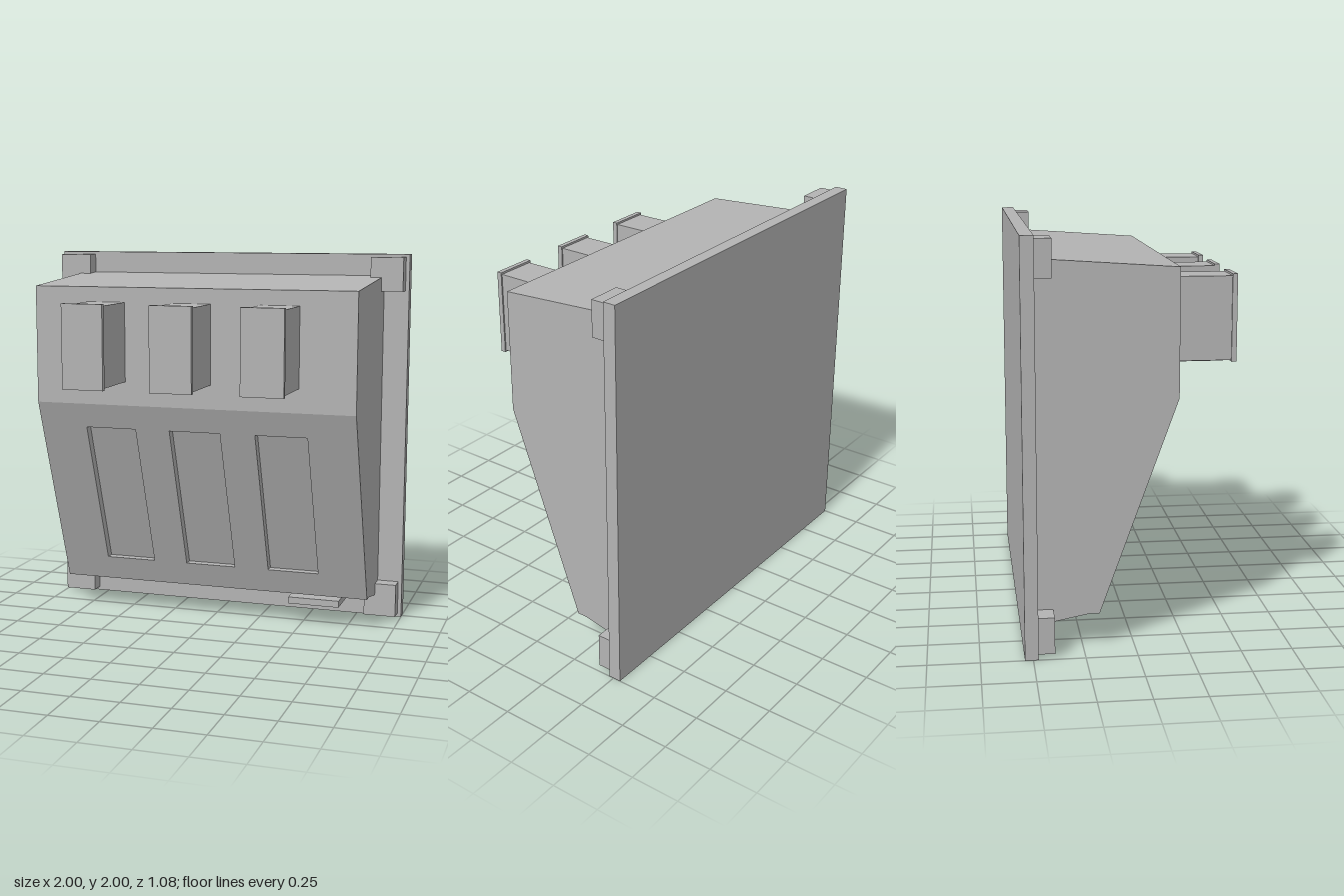
import * as THREE from 'three';

export function createModel() {
  const model = new THREE.Group();
  const grey = new THREE.MeshStandardMaterial({ color: 0xb4b4b4 });
  grey.name = 'grey';

  const add = (name, geometry) => {
    const mesh = new THREE.Mesh(geometry, grey);
    mesh.name = name;
    model.add(mesh);
    return mesh;
  };
  // Box given by its limits on each axis
  const box = (name, x0, x1, y0, y1, z0, z1) =>
    add(name, new THREE.BoxGeometry(x1 - x0, y1 - y0, z1 - z0))
      .position.set((x0 + x1) / 2, (y0 + y1) / 2, (z0 + z1) / 2);

  // Back plate
  box('backPlate', -1, 1, 0, 2, -0.54, -0.475);

  // Corner blocks
  for (const [x0, x1] of [[-0.98, -0.805], [0.805, 0.98]])
    for (const [y0, y1] of [[0.02, 0.2], [1.805, 1.985]])
      box('cornerBlock', x0, x1, y0, y1, -0.48, -0.395);

  // Housing: side profile (z, y) extruded across x, set back under the sloped panel
  const half = 0.865, depth = 0.05;
  const topY = 1.22, lowY = 0.17, topZ = 0.21, lowZ = -0.17;
  const profile = new THREE.Shape([
    [-0.48, 0.12], [lowZ - depth, lowY], [topZ - depth, topY],
    [topZ, topY], [topZ, 1.838], [-0.48, 1.885],
  ].map(([z, y]) => new THREE.Vector2(-z, y)));
  const housing = new THREE.ExtrudeGeometry(profile, { depth: half * 2, bevelEnabled: false });
  housing.translate(0, 0, -half).rotateY(Math.PI / 2);
  add('housing', housing);

  // Sloped panel with three recesses, sheared to lie along the slope
  const rect = (Type, x0, x1, y0, y1) => new Type([
    new THREE.Vector2(x0, y0), new THREE.Vector2(x1, y0),
    new THREE.Vector2(x1, y1), new THREE.Vector2(x0, y1),
  ]);
  const centres = [-0.467, 0, 0.467];
  const panelShape = rect(THREE.Shape, -half, half, lowY, topY);
  for (const c of centres)
    panelShape.holes.push(rect(THREE.Path, c - 0.139, c + 0.139, 0.305, 1.088));
  const panel = new THREE.ExtrudeGeometry(panelShape, { depth, bevelEnabled: false });
  const p = panel.attributes.position;
  for (let i = 0; i < p.count; i++) {
    const t = (p.getY(i) - lowY) / (topY - lowY);
    p.setZ(i, p.getZ(i) - depth + lowZ + t * (topZ - lowZ));
  }
  panel.computeVertexNormals();
  add('slopedPanel', panel);

  // Three projecting switches with a cap and a thin strip below
  for (const c of centres) {
    box('switchStem', c - 0.103, c + 0.103, 1.345, 1.76, 0.2, 0.515);
    box('switchCap', c - 0.11, c + 0.11, 1.337, 1.77, 0.515, 0.54);
    box('switchStrip', c - 0.075, c + 0.075, 1.338, 1.346, 0.25, 0.48);
  }

  // Latch under the housing
  box('latch', 0.43, 0.71, 0.112, 0.148, -0.475, -0.17);
  box('latchPlate', 0.47, 0.67, 0.102, 0.112, -0.44, -0.205);

  return model;
}
